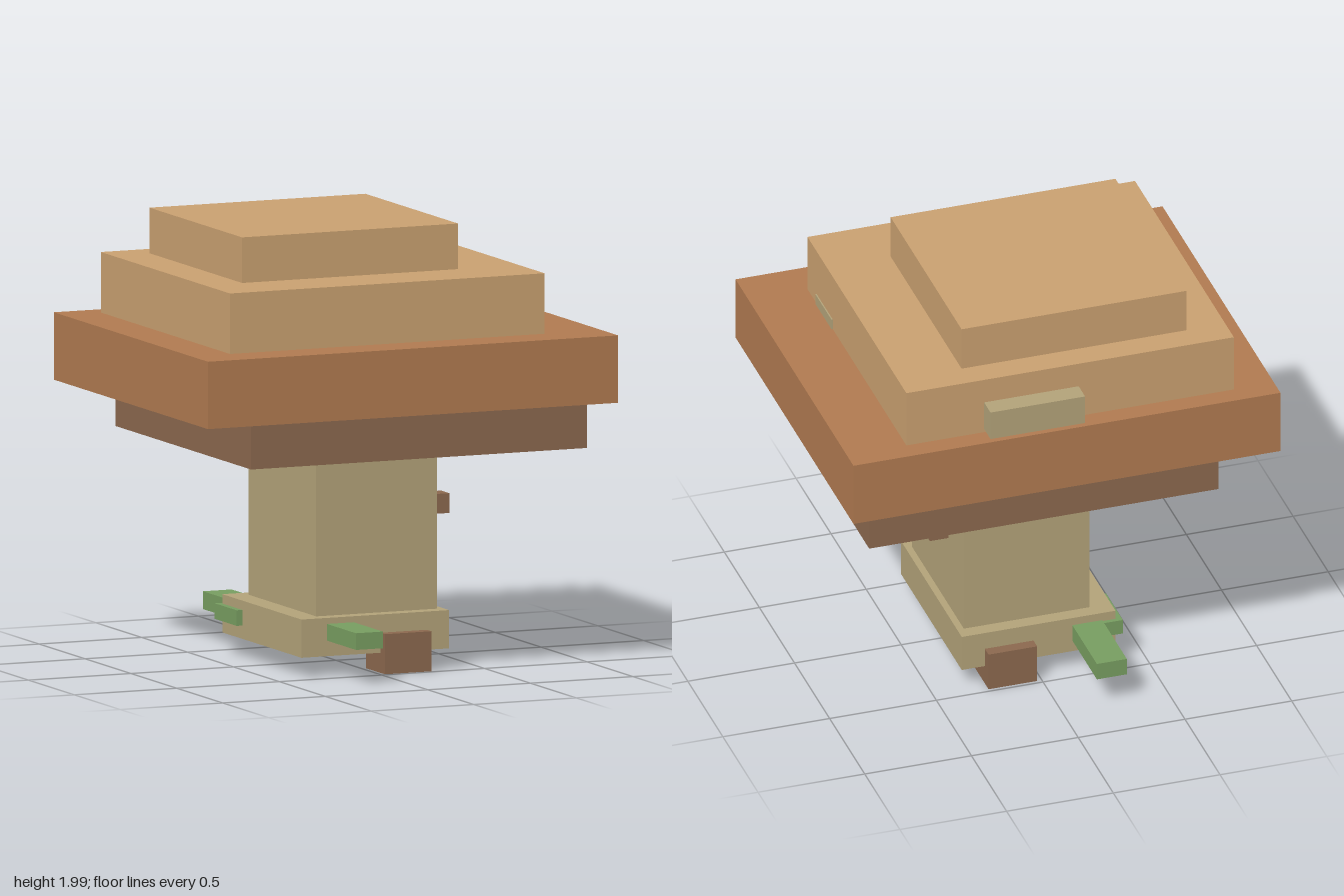
import * as THREE from 'three';

const mat = (name, color) => {
  const m = new THREE.MeshStandardMaterial({ color });
  m.name = name;
  return m;
};

export function createModel() {
  const group = new THREE.Group();
  group.name = 'mushroom';
  const tan = mat('tan cap', 0xc9a070);
  const rust = mat('rust rim', 0xb07a50);
  const brown = mat('dark brown', 0x8b684e);
  const straw = mat('straw stem', 0xb2a279);
  const green = mat('leaf green', 0x779d60);

  // Box given by its extents along each axis
  const box = (name, material, [x0, x1], [y0, y1], [z0, z1]) => {
    const mesh = new THREE.Mesh(new THREE.BoxGeometry(x1 - x0, y1 - y0, z1 - z0), material);
    mesh.position.set((x0 + x1) / 2, (y0 + y1) / 2, (z0 + z1) / 2);
    mesh.name = name;
    group.add(mesh);
  };

  // Stepped cap
  box('capTop', tan, [-0.63, 0.423], [1.785, 1.99], [-0.625, 0.385]);
  box('capMiddle', tan, [-0.812, 0.722], [1.513, 1.785], [-0.748, 0.66]);
  box('capRim', rust, [-1, 1], [1.21, 1.513], [-0.84, 0.84]);
  box('capUnderside', brown, [-0.745, 0.892], [1.0, 1.21], [-0.735, 0.74]);

  // Cap spots and the lump below the rim
  box('backSpot', straw, [-0.085, 0.358], [1.53, 1.668], [-0.84, -0.7]);
  box('sideSpot', straw, [0.6, 0.728], [1.5, 1.563], [0.3, 0.53]);
  box('rimLump', brown, [0.892, 0.958], [1.187, 1.25], [0.235, 0.57]);

  // Stem and base
  box('stem', straw, [-0.262, 0.327], [0.26, 1.0], [-0.365, 0.37]);
  box('base', straw, [-0.362, 0.358], [0.09, 0.262], [-0.43, 0.433]);

  // Eyes and feet, paired across z
  for (const [side, s] of [['left', 1], ['right', -1]]) {
    const span = (a, b) => (s > 0 ? [a, b] : [-b, -a]);
    box(side + 'Eye', brown, [0.358, 0.445], [0.668, 0.757], span(0.15, 0.24));
    box(side + 'Foot', brown, [0.022, 0.25], [0, 0.18], span(0.278, 0.483));
  }

  // Grass blades around the base
  box('frontBlade', green, [-0.238, -0.107], [0.16, 0.235], [0.4, 0.75]);
  box('backBlade', green, [-0.3, -0.16], [0.145, 0.225], [-0.78, -0.41]);
  box('sideBlade', green, [-0.39, -0.27], [0.15, 0.22], [-0.45, -0.21]);
  return group;
}
